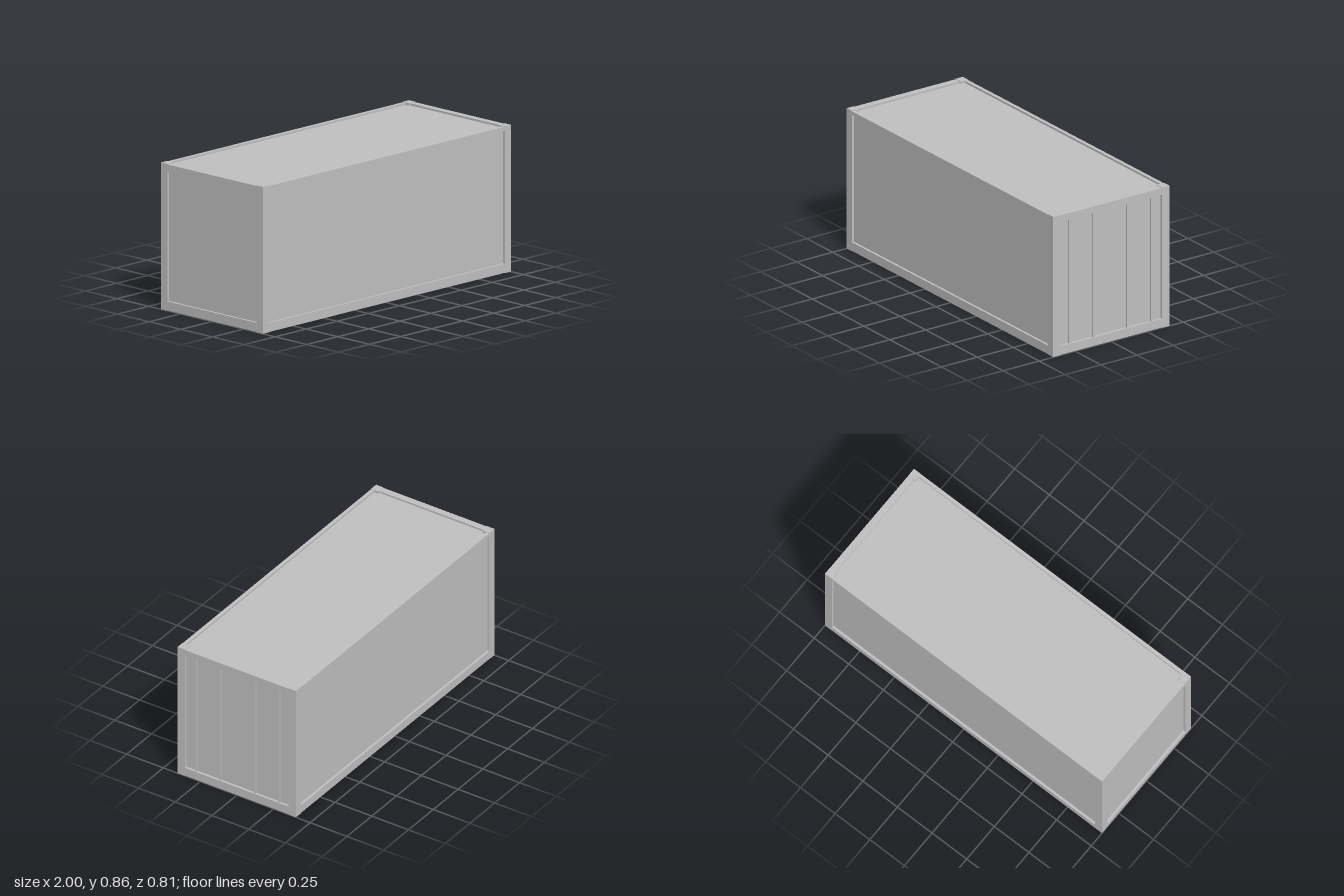
import * as THREE from 'three';

export function createModel() {
  const model = new THREE.Group();
  model.name = 'shippingContainer';
  const steel = new THREE.MeshStandardMaterial({ color: 0xc0c0c0 });
  steel.name = 'grey steel';

  // Box given by its minimum and maximum corners
  function box(name, x0, x1, y0, y1, z0, z1) {
    const mesh = new THREE.Mesh(new THREE.BoxGeometry(x1 - x0, y1 - y0, z1 - z0), steel);
    mesh.position.set((x0 + x1) / 2, (y0 + y1) / 2, (z0 + z1) / 2);
    mesh.name = name;
    model.add(mesh);
  }
  // Box placed outward along x or z on the chosen side
  const sideBox = (name, s, x, y0, y1, a, b) =>
    box(name, -x, x, y0, y1, Math.min(s * a, s * b), Math.max(s * a, s * b));
  const endBox = (name, s, z0, z1, y0, y1, a, b) =>
    box(name, Math.min(s * a, s * b), Math.max(s * a, s * b), y0, y1, z0, z1);

  const X = 1, Z = 0.403, H = 0.855;
  const postX = 0.949, postZ = 0.352;
  const railTop = 0.852, railBottom = 0.002;

  for (const s of [-1, 1]) {
    // Corner posts, standing slightly proud of the rails
    for (const t of [-1, 1]) {
      endBox('cornerPost', s, Math.min(t * postZ, t * Z), Math.max(t * postZ, t * Z), 0, H, postX, X);
    }

    // Long side: rails and recessed wall
    sideBox('topSideRail', s, postX, 0.83, railTop, 0.381, Z);
    sideBox('bottomSideRail', s, postX, railBottom, 0.055, 0.381, Z);
    sideBox('sideWall', s, 0.96, 0.045, 0.838, 0.382, 0.389);

    // Short end: rails and recessed wall
    endBox('topEndRail', s, -postZ, postZ, 0.81, railTop, 0.96, X);
    endBox('bottomEndRail', s, -postZ, postZ, railBottom, 0.055, 0.96, X);
    endBox(s > 0 ? 'doorPanel' : 'endWall', s, -0.36, 0.36, 0.045, 0.82, 0.978, 0.985);
  }

  // Roof sheet set below the rails; the underside is open
  box('roof', -0.965, 0.965, 0.832, 0.84, -0.385, 0.385);

  // Upright locking bars on the door end
  for (const z of [-0.284, -0.119, 0.119, 0.284]) {
    box('lockingBar', 0.984, 0.995, 0.055, 0.81, z - 0.005, z + 0.005);
  }
  return model;
}
